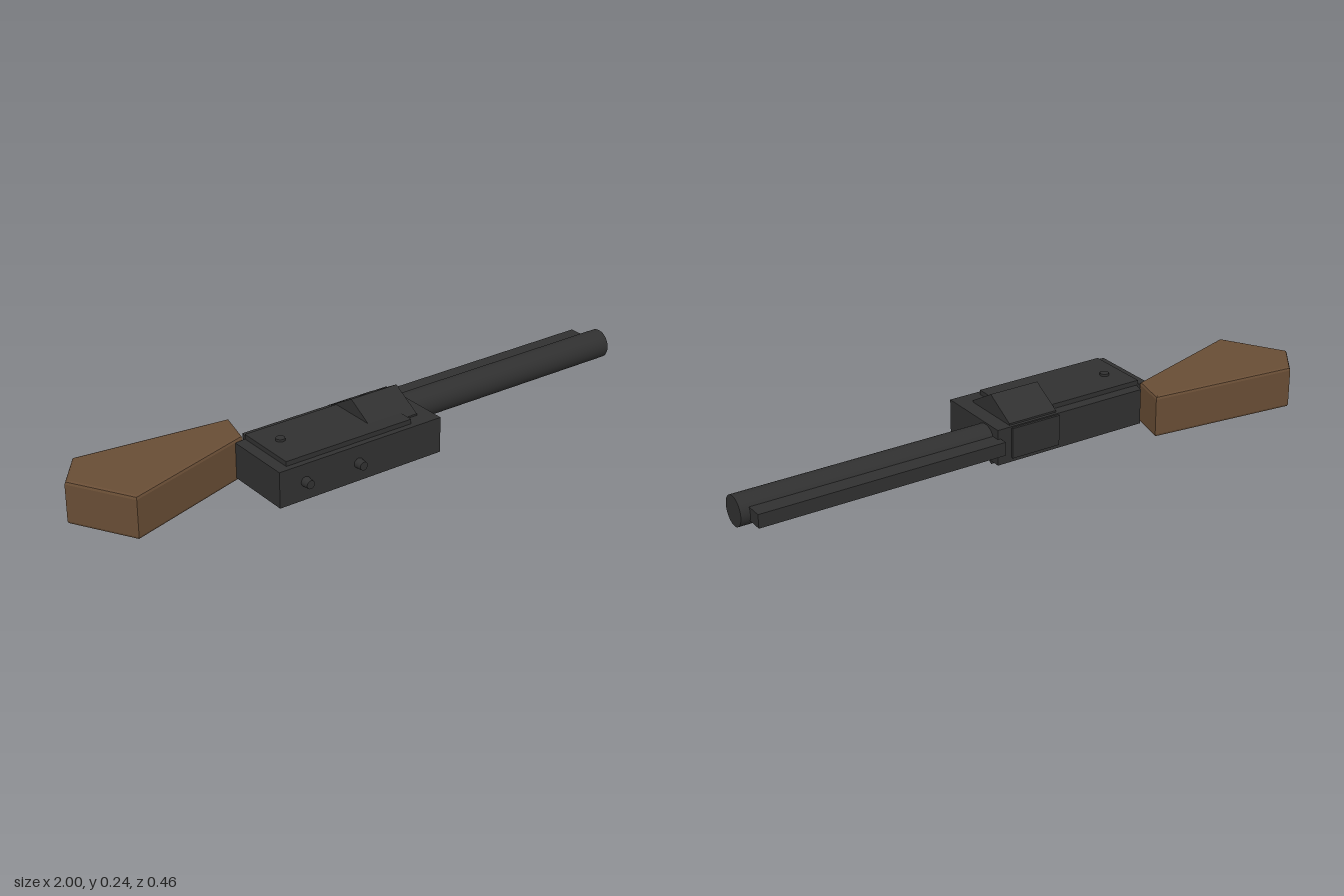
import * as THREE from 'three';

const mat = (name, color) => {
  const m = new THREE.MeshStandardMaterial({ color });
  m.name = name;
  return m;
};

export function createModel() {
  const group = new THREE.Group();
  const metal = mat('darkMetal', 0x303030);
  const wood = mat('brownWood', 0x684d35);

  const add = (name, geometry, material, x = 0, y = 0, z = 0) => {
    const mesh = new THREE.Mesh(geometry, material);
    mesh.name = name;
    mesh.position.set(x, y, z);
    group.add(mesh);
    return mesh;
  };
  // Box given by its min and max on each axis
  const box = (name, x0, x1, y0, y1, z0, z1) =>
    add(name, new THREE.BoxGeometry(x1 - x0, y1 - y0, z1 - z0), metal,
      (x0 + x1) / 2, (y0 + y1) / 2, (z0 + z1) / 2);
  // Upright slab from an outline of [x, z] points, with softened rims
  const slab = (name, points, y0, y1, bevel, material) => {
    const shape = new THREE.Shape(points.map(([x, z]) => new THREE.Vector2(x, -z)));
    const geometry = new THREE.ExtrudeGeometry(shape, {
      depth: y1 - y0 - 2 * bevel, bevelEnabled: bevel > 0, bevelThickness: bevel,
      bevelSize: bevel, bevelOffset: -bevel, bevelSegments: 2,
    });
    geometry.rotateX(-Math.PI / 2).translate(0, y0 + bevel, 0);
    return add(name, geometry, material);
  };

  // Wooden stock
  slab('stock', [[-0.88, 0.095], [-0.43, -0.045], [-0.4, -0.17], [-0.91, -0.23], [-1, -0.11]],
    0.03, 0.172, 0.01, wood);

  // Receiver body with a notched rear corner, and its raised cover plate
  slab('body', [[-0.463, 0.2], [0.14, 0.2], [0.14, -0.076], [-0.41, -0.076], [-0.42, -0.04], [-0.463, -0.035]],
    0.041, 0.161, 0, metal);
  slab('coverPlate', [[-0.425, 0.18], [0.04, 0.18], [0.04, 0.122], [0.09, 0.122], [0.09, -0.04], [-0.425, -0.04]],
    0.161, 0.177, 0, metal);
  box('backPlate', -0.085, 0.09, 0.055, 0.157, -0.084, -0.07);

  // Six-sided drum crossing the body
  const drum = new THREE.CylinderGeometry(0.121, 0.121, 0.175, 6).toNonIndexed();
  drum.rotateY(Math.PI / 2).rotateZ(Math.PI / 2);
  drum.computeVertexNormals();
  add('drum', drum, metal, 0.0025, 0.106, 0.04);

  // Barrel and the rib along it
  const barrel = new THREE.CylinderGeometry(0.049, 0.049, 0.88, 40).rotateZ(Math.PI / 2);
  add('barrel', barrel, metal, 0.56, 0.107, -0.005);
  box('barrelRib', 0.13, 0.97, 0.085, 0.13, -0.105, -0.03);

  // Front pins and cover screw
  for (const x of [-0.37, -0.175]) {
    const pin = new THREE.CylinderGeometry(0.014, 0.018, 0.04, 16).rotateX(Math.PI / 2);
    add('frontPin', pin, metal, x, 0.102, 0.207);
  }
  add('coverScrew', new THREE.CylinderGeometry(0.015, 0.015, 0.02, 16), metal, -0.36, 0.175, 0.055);

  return group;
}
